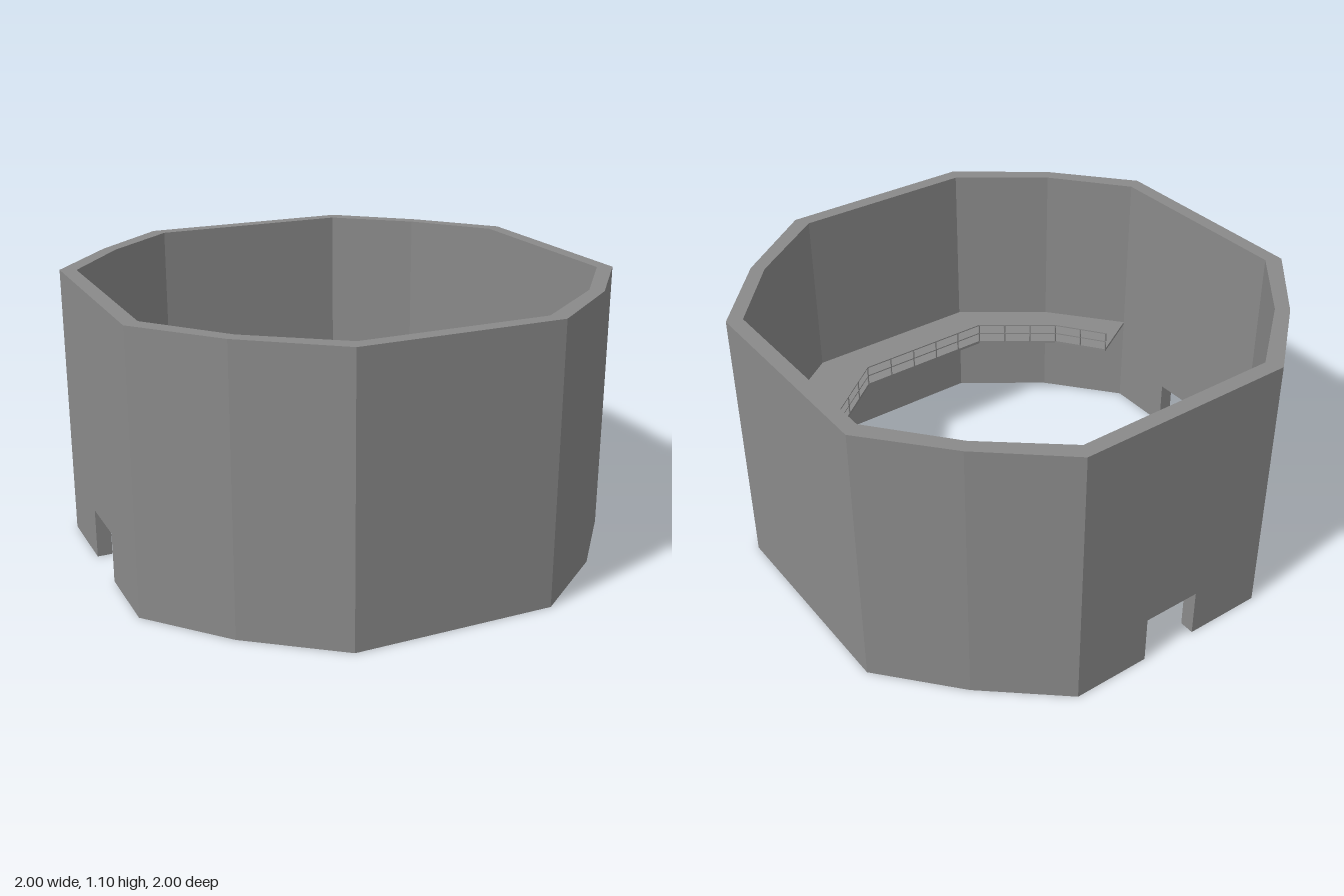
import * as THREE from 'three';

const HEIGHT = 1.1, DOOR = 0.2, FLOOR = 0.405, SLAB = 0.012;

// Wall stations [outer x, outer z, inner x, inner z, 1 if a doorway starts here],
// running around the plan from the right-hand back corner
const STATIONS = [
  [-1, -0.44, -0.94, -0.41], [-0.74, -0.74, -0.7, -0.7], [-0.44, -1, -0.41, -0.94],
  [-0.12, -1, -0.12, -0.94, 1], [0.12, -1, 0.12, -0.94],
  [0.44, -1, 0.41, -0.94], [0.74, -0.74, 0.7, -0.7], [1, -0.44, 0.94, -0.41],
  [1, 0.43, 0.94, 0.41], [0.74, 0.74, 0.7, 0.7], [0.4, 1, 0.37, 0.94],
  [-0.4, 1, -0.37, 0.94], [-0.74, 0.74, -0.7, 0.7], [-1, 0.44, -0.94, 0.41],
  [-1, 0.12, -0.94, 0.12, 1], [-1, -0.12, -0.94, -0.12],
];

// Walkway stations [outer x, outer z, inner x, inner z], open on the -x side
const WALK = [
  [-0.94, -0.41, -0.72, -0.33], [-0.7, -0.7, -0.57, -0.52], [-0.41, -0.94, -0.31, -0.725],
  [0.41, -0.94, 0.29, -0.725], [0.7, -0.7, 0.55, -0.51], [0.94, -0.41, 0.69, -0.33],
  [0.94, 0.41, 0.69, 0.28], [0.7, 0.7, 0.56, 0.46], [0.37, 0.94, 0.29, 0.675],
  [-0.37, 0.94, -0.3, 0.675], [-0.7, 0.7, -0.58, 0.47], [-0.94, 0.41, -0.72, 0.28],
];

// Collects flat four-cornered faces, corners counter-clockwise from outside
function faceBuilder() {
  const pos = [];
  return {
    quad(a, b, c, d) { for (const p of [a, b, c, a, c, d]) pos.push(...p); },
    geometry() {
      const g = new THREE.BufferGeometry();
      g.setAttribute('position', new THREE.Float32BufferAttribute(pos, 3));
      g.computeVertexNormals();
      return g;
    },
  };
}

const out = (s, y) => [s[0], y, s[1]];
const inn = (s, y) => [s[2], y, s[3]];

// One stretch of wall or slab between stations a and b
function stretch(f, a, b, y0, y1) {
  f.quad(out(b, y0), out(a, y0), out(a, y1), out(b, y1));
  f.quad(inn(a, y0), inn(b, y0), inn(b, y1), inn(a, y1));
  f.quad(out(a, y1), inn(a, y1), inn(b, y1), out(b, y1));
  f.quad(out(a, y0), out(b, y0), inn(b, y0), inn(a, y0));
}

// Cross-wise end faces: the first looks along the run, the second against it
const endForward = (f, s, y0, y1) => f.quad(out(s, y0), out(s, y1), inn(s, y1), inn(s, y0));
const endBackward = (f, s, y0, y1) => f.quad(out(s, y0), inn(s, y0), inn(s, y1), out(s, y1));

function wallGeometry() {
  const f = faceBuilder();
  STATIONS.forEach((a, i) => {
    const b = STATIONS[(i + 1) % STATIONS.length];
    stretch(f, a, b, a[4] ? DOOR : 0, HEIGHT);
    if (a[4]) { // door jambs
      endForward(f, a, 0, DOOR);
      endBackward(f, b, 0, DOOR);
    }
  });
  return f.geometry();
}

function walkwayGeometry() {
  const f = faceBuilder();
  for (let i = 0; i < WALK.length - 1; i++) stretch(f, WALK[i], WALK[i + 1], FLOOR - SLAB, FLOOR);
  endBackward(f, WALK[0], FLOOR - SLAB, FLOOR);
  endForward(f, WALK[WALK.length - 1], FLOOR - SLAB, FLOOR);
  return f.geometry();
}

export function createModel() {
  const model = new THREE.Group();
  model.name = 'walledEnclosure';
  const grey = new THREE.MeshStandardMaterial({ color: 0x8a8a8a });
  grey.name = 'concreteGrey';

  const add = (parent, geometry, name) => {
    const mesh = new THREE.Mesh(geometry, grey);
    mesh.name = name;
    parent.add(mesh);
    return mesh;
  };

  add(model, wallGeometry(), 'outerWall');
  add(model, walkwayGeometry(), 'walkway');

  // Railing along the walkway's inner edge: two rails and evenly spaced posts
  const railing = new THREE.Group();
  railing.name = 'railing';
  model.add(railing);
  const T = 0.005, RAIL_H = 0.085;
  const postGeometry = new THREE.BoxGeometry(T, RAIL_H, T);
  const addPost = (x, z) =>
    add(railing, postGeometry, 'railPost').position.set(x, FLOOR + RAIL_H / 2, z);

  for (let i = 0; i < WALK.length - 1; i++) {
    const [, , ax, az] = WALK[i], [, , bx, bz] = WALK[i + 1];
    const length = Math.hypot(bx - ax, bz - az);
    for (const h of [RAIL_H / 2, RAIL_H]) {
      const rail = add(railing, new THREE.BoxGeometry(length + T, T, T), 'rail');
      rail.position.set((ax + bx) / 2, FLOOR + h, (az + bz) / 2);
      rail.rotation.y = -Math.atan2(bz - az, bx - ax);
    }
    const n = Math.max(1, Math.round(length / 0.115));
    for (let k = 0; k < n; k++) addPost(ax + (bx - ax) * k / n, az + (bz - az) * k / n);
  }
  const last = WALK[WALK.length - 1];
  addPost(last[2], last[3]);

  return model;
}
